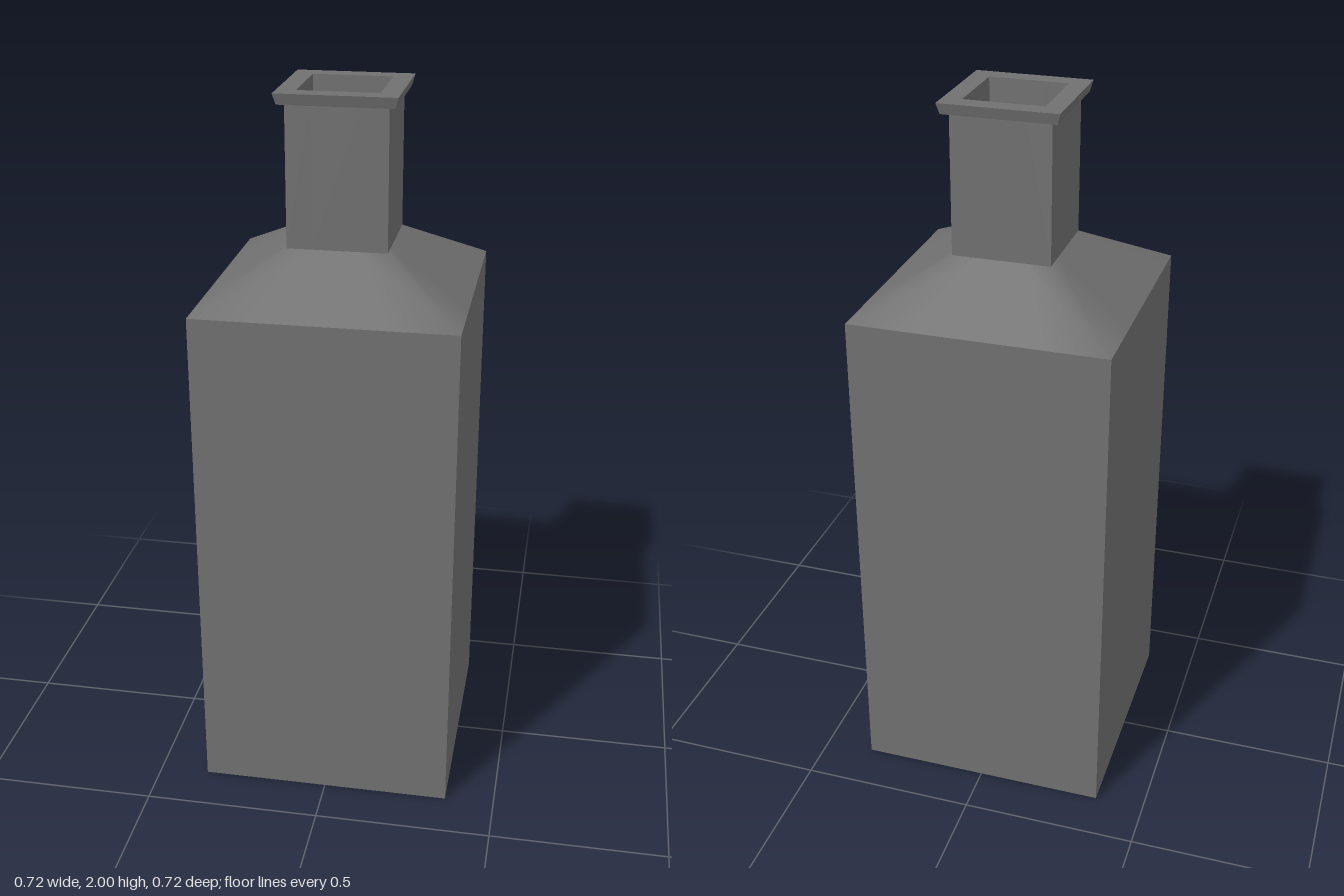
import * as THREE from 'three';

const material = new THREE.MeshStandardMaterial({ color: 0x707070 });

// Square ring of points; every side has two extra points between its corners
function squareRing(half, y) {
  const steps = [-1, -0.5, 0.5];
  const points = [];
  for (const t of steps) points.push([t * half, y, half]);
  for (const t of steps) points.push([half, y, -t * half]);
  for (const t of steps) points.push([-t * half, y, -half]);
  for (const t of steps) points.push([-half, y, t * half]);
  return points;
}

// Joins square rings given as [half width, height]; a half width of 0 is a centre point
function squareLoft(name, profile, smooth = false) {
  const n = 12;
  const positions = profile.flatMap(([half, y]) => squareRing(half, y).flat());
  const index = [];
  for (let j = 0; j < profile.length - 1; j++) {
    for (let i = 0; i < n; i++) {
      const a = j * n + i;
      const b = j * n + ((i + 1) % n);
      if (profile[j][0] === 0) index.push(a, b + n, a + n);
      else if (profile[j + 1][0] === 0) index.push(a, b, b + n);
      // Diagonals are mirrored at the two ends of a side, for even corner shading
      else if (i % 3 === 2) index.push(a, b, a + n, b, b + n, a + n);
      else index.push(a, b, b + n, a, b + n, a + n);
    }
  }
  let geometry = new THREE.BufferGeometry();
  geometry.setAttribute('position', new THREE.Float32BufferAttribute(positions, 3));
  geometry.setIndex(index);
  if (!smooth) geometry = geometry.toNonIndexed();
  geometry.computeVertexNormals();
  const mesh = new THREE.Mesh(geometry, material);
  mesh.name = name;
  return mesh;
}

export function createModel() {
  const bottle = new THREE.Group();
  bottle.name = 'squareBottle';

  // Tapered recess in the underside
  bottle.add(squareLoft('baseRecess', [[0, 0.105], [0.125, 0.105], [0.175, 0.038]]));

  // Underside rising gently from the walls to the recess
  bottle.add(squareLoft('base', [[0.175, 0.038], [0.359, 0]], true));

  // Straight walls
  bottle.add(squareLoft('body', [[0.359, 0], [0.359, 1.45]]));

  // Sloping shoulder, softly shaded round its corners
  bottle.add(squareLoft('shoulder', [[0.359, 1.45], [0.137, 1.584]], true));

  // Neck
  bottle.add(squareLoft('neck', [[0.137, 1.584], [0.137, 1.97]]));

  // Flared lip round the mouth
  bottle.add(squareLoft('lip', [[0.137, 1.97], [0.155, 1.97], [0.163, 2], [0.11, 2]]));

  // Hollow inside, from the mouth down to the floor
  bottle.add(squareLoft('interior', [
    [0.11, 2], [0.11, 1.57], [0.33, 1.435], [0.33, 0.14], [0, 0.14],
  ]));

  return bottle;
}
